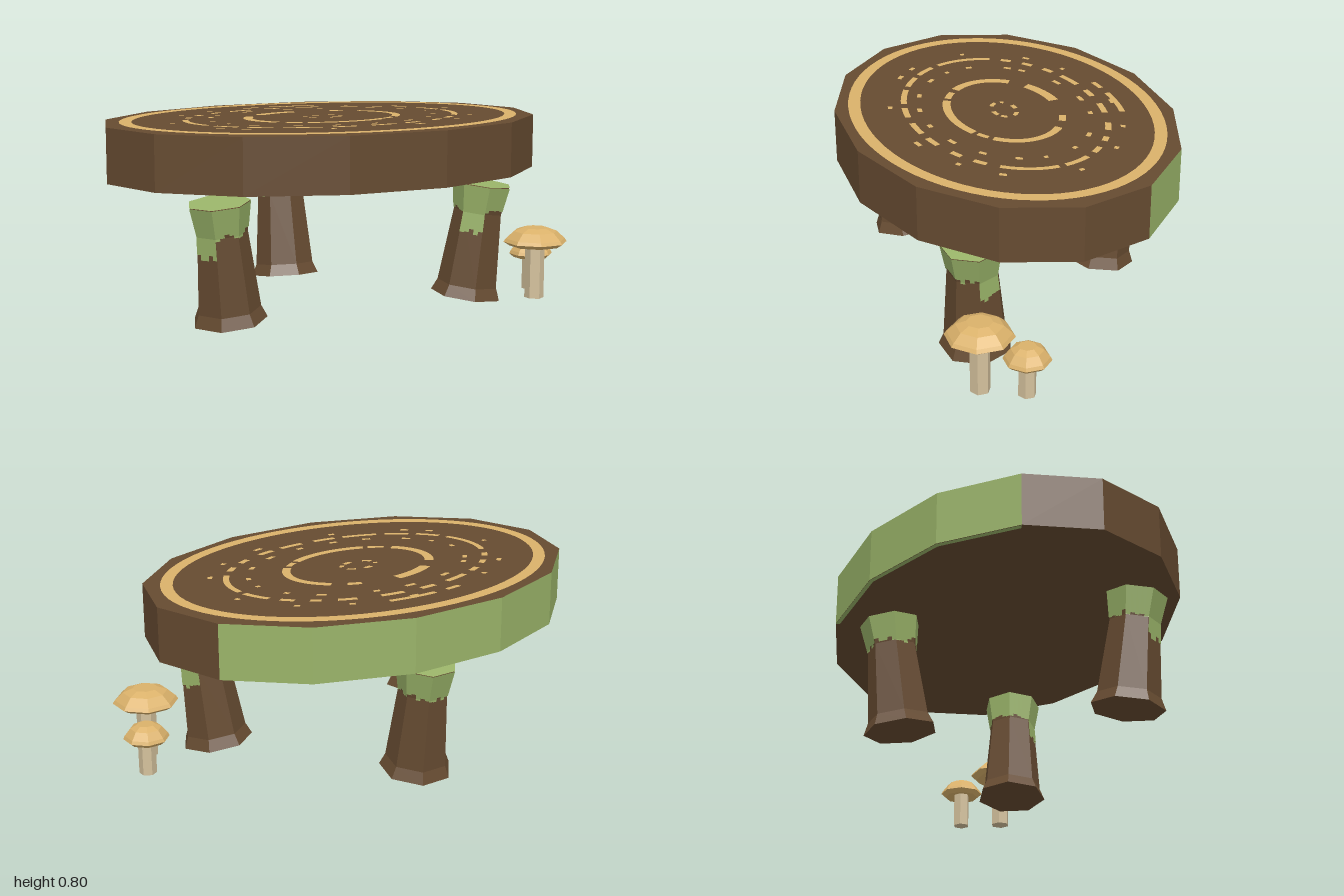
import * as THREE from 'three';
import { mergeGeometries } from 'three/addons/utils/BufferGeometryUtils.js';

const mat = (name, color, flatShading = true) => {
  const m = new THREE.MeshStandardMaterial({ color, flatShading });
  m.name = name;
  return m;
};
const STEP = Math.PI / 7; // one of the 14 rim sides
const TOP = 0.8, THICK = 0.23;

export function createModel() {
  const bark = mat('bark brown', 0x664b31);
  const moss = mat('moss green', 0x9ab469);
  const tan = mat('ring and cap tan', 0xdab16a);
  const cream = mat('stem cream', 0xd4c19c);
  const model = new THREE.Group();
  model.name = 'logTable';

  const add = (parent, name, geometry, material) => {
    const mesh = new THREE.Mesh(geometry, material);
    mesh.name = name;
    parent.add(mesh);
    return mesh;
  };
  const random = (seed => () => (seed = (seed * 16807) % 2147483647) / 2147483647)(77);

  // Oval slab: bark rim, mossy rim at the back, top and underside
  const slab = new THREE.Group();
  slab.name = 'tabletop';
  slab.position.x = -0.03;
  model.add(slab);
  const oval = g => g.scale(0.97, 1, 0.705);
  const rim = (first, count) => oval(new THREE.CylinderGeometry(1, 1, THICK, count, 1, true,
    Math.PI / 2 + first * STEP, count * STEP).translate(0, TOP - THICK / 2, 0));
  add(slab, 'barkRim', rim(6, 9), bark);
  add(slab, 'mossRim', rim(1, 5), moss);
  add(slab, 'topFace', oval(new THREE.CircleGeometry(1, 14).rotateX(-Math.PI / 2).translate(0, TOP, 0)), bark);
  add(slab, 'underside', oval(new THREE.CircleGeometry(1, 14).rotateX(Math.PI / 2).translate(0, TOP - THICK, 0)), bark);
  add(slab, 'mossUnderRim', oval(new THREE.RingGeometry(0.975, 1, 3, 1, -5.5 * STEP + STEP / 2 - STEP, 3 * STEP)
    .rotateX(Math.PI / 2).translate(0, TOP - THICK - 0.002, 0)), moss);

  // Growth rings: flat arcs given by radii, width and angles in degrees
  const arc = (rx, rz, width, from, to) => {
    const n = Math.max(2, Math.ceil((to - from) / 5)), pts = [];
    for (let k = 0; k <= 2 * n + 1; k++) {
      const outer = k <= n, t = outer ? k / n : (2 * n + 1 - k) / n;
      const a = THREE.MathUtils.degToRad(from + (to - from) * t), w = (outer ? 1 : -1) * width / 2;
      pts.push(new THREE.Vector2((rx + w) * Math.cos(a), (rz + w) * Math.sin(a)));
    }
    return new THREE.ShapeGeometry(new THREE.Shape(pts)).rotateX(-Math.PI / 2).translate(0, TOP + 0.003, 0);
  };
  const arcs = [arc(0.865, 0.62, 0.052, 0, 180), arc(0.865, 0.62, 0.052, 180, 360)];
  // Inner ring
  for (const [from, to, w] of [[-35, 42, 0.035], [55, 66, 0.03], [95, 132, 0.045], [150, 215, 0.04],
    [222, 236, 0.03], [240, 305, 0.035], [309, 320, 0.025]]) arcs.push(arc(0.335, 0.235, w, from, to));
  // Broken middle ring
  for (const [from, to] of [[-28, 4], [8, 24], [30, 37], [44, 49], [56, 64], [74, 84], [92, 99], [106, 118],
    [124, 130], [137, 143], [150, 156], [163, 198], [203, 216], [220, 232], [236, 252], [256, 266],
    [272, 283], [288, 296], [305, 311], [318, 325]]) arcs.push(arc(0.61, 0.41, 0.026, from, to));
  arcs.push(arc(0.7, 0.485, 0.024, 75, 93), arc(0.7, 0.485, 0.022, 98, 104));
  // Scattered flecks between the rings
  for (const [rx, rz, count] of [[0.51, 0.35, 17], [0.68, 0.47, 13], [0.08, 0.05, 6]]) {
    for (let k = 0; k < count; k++) {
      const from = (k + random() * 0.6) * 360 / count, span = (1.3 + random() * 1.6) / rx;
      arcs.push(arc(rx, rz, 0.02, from, from + span));
    }
  }
  add(slab, 'growthRings', mergeGeometries(arcs), tan);

  // Legs: seven-sided flared trunks that lean outward, capped with ragged moss
  const profile = [[0.155, 0], [0.133, 0.05], [0.106, 0.37], [0.126, 0.49]];
  const legGeometry = new THREE.LatheGeometry(
    [[0, 0], ...profile, [0, 0.49]].map(p => new THREE.Vector2(...p)), 7);
  const radiusAt = y => {
    const i = y > 0.37 ? 2 : 1, [r0, y0] = profile[i], [r1, y1] = profile[i + 1];
    return r0 + (r1 - r0) * (y - y0) / (y1 - y0) + 0.003;
  };
  const mossGeometry = deepSides => {
    const positions = [], index = [], columns = 5;
    const point = (side, t, y) => {
      const a = side * 2 * Math.PI / 7, b = a + 2 * Math.PI / 7, r = radiusAt(y);
      positions.push(r * THREE.MathUtils.lerp(Math.sin(a), Math.sin(b), t), y,
        r * THREE.MathUtils.lerp(Math.cos(a), Math.cos(b), t));
    };
    for (let side = 0; side < 7; side++) {
      const drop = deepSides.includes(side) ? 0.185 : 0.1;
      for (let c = 0; c < columns; c++) {
        const low = 0.49 - drop - random() * 0.03;
        const rows = low < 0.37 ? [low, 0.37, 0.49] : [low, 0.49];
        for (let k = 0; k + 1 < rows.length; k++) {
          const base = positions.length / 3;
          for (const y of [rows[k], rows[k + 1]])
            for (const t of [c / columns, (c + 1) / columns]) point(side, t, y);
          index.push(base, base + 1, base + 2, base + 1, base + 3, base + 2);
        }
      }
    }
    const g = new THREE.BufferGeometry();
    g.setAttribute('position', new THREE.Float32BufferAttribute(positions, 3));
    g.setIndex(index);
    g.computeVertexNormals();
    return g;
  };
  for (const [name, x, z, turn, deepSides] of [['backLeg', -0.01, -0.445, 0, []],
    ['leftFrontLeg', 0.52, 0.3, -2, [1, 4]], ['rightFrontLeg', -0.595, 0.3, 2, [3]]]) {
    const leg = new THREE.Group();
    leg.name = name;
    leg.position.set(x, 0.03, z);
    leg.rotation.set(-0.127, turn * Math.PI / 3, 0, 'YXZ');
    add(leg, 'trunk', legGeometry, bark);
    add(leg, 'mossSleeve', mossGeometry(deepSides), moss);
    add(leg, 'mossTop', new THREE.CircleGeometry(0.129, 7, Math.PI / 2).rotateX(-Math.PI / 2)
      .rotateY(Math.PI).translate(0, 0.493, 0), moss);
    model.add(leg);
  }

  // Mushrooms: eight-sided caps on six-sided stems
  const mushroom = (name, x, z, r, base, height, stemRadius) => {
    const group = new THREE.Group();
    group.name = name;
    group.position.set(x, 0, z);
    const cap = [[0, 0.2], [0.8, 0], [1, 0.22], [0.93, 0.4], [0.68, 0.8], [0.38, 1], [0, 1]]
      .map(([u, v]) => new THREE.Vector2(u * r, base + v * height));
    add(group, 'cap', new THREE.LatheGeometry(cap, 8).rotateY(Math.PI / 8), tan);
    add(group, 'stem', new THREE.CylinderGeometry(stemRadius, stemRadius, base + 0.02, 6)
      .translate(0, base / 2 + 0.01, 0), cream);
    model.add(group);
  };
  mushroom('largeMushroom', 0.82, 0.378, 0.14, 0.232, 0.08, 0.042);
  mushroom('smallMushroom', 0.908, 0.213, 0.097, 0.145, 0.077, 0.037);

  return model;
}
